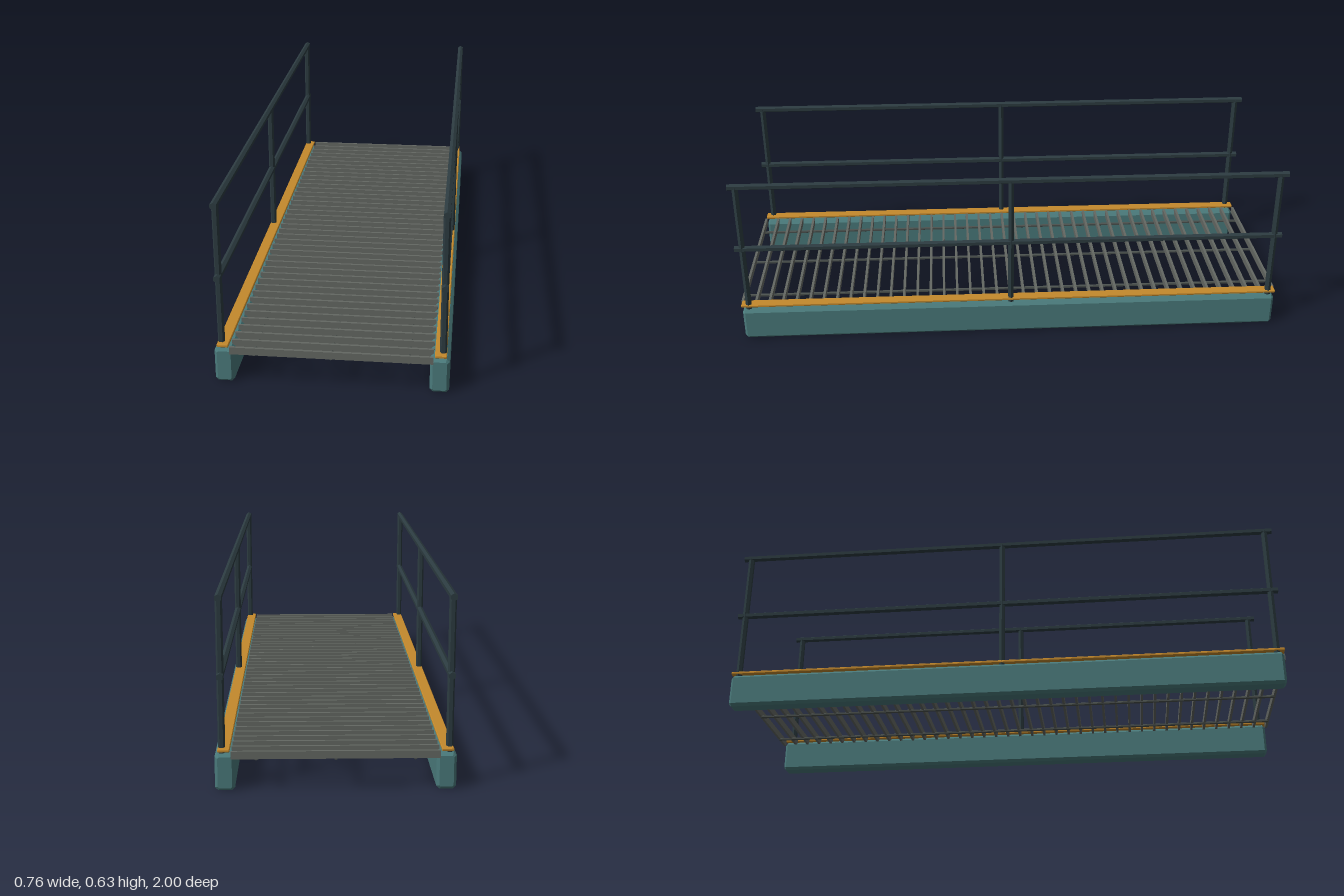
import * as THREE from 'three';

const mat = (color) => new THREE.MeshStandardMaterial({ color, flatShading: true });

// Chamfered bar running along z, centred on the origin
function chamferedBar(w, h, length, c) {
  const x = w / 2 - c, y = h / 2 - c, k = c * 0.5;
  const shape = new THREE.Shape([
    [-x + k, -y], [x - k, -y], [x, -y + k], [x, y - k],
    [x - k, y], [-x + k, y], [-x, y - k], [-x, -y + k],
  ].map(([px, py]) => new THREE.Vector2(px, py)));
  return new THREE.ExtrudeGeometry(shape, {
    depth: length - 2 * c, bevelEnabled: true, bevelSize: c, bevelThickness: c, bevelSegments: 1,
  }).translate(0, 0, -length / 2 + c);
}

// Six-sided rod along z, with a corner pointing up
function hexRod(r, length) {
  return new THREE.CylinderGeometry(r, r, length, 6).rotateX(Math.PI / 2);
}

export function createModel() {
  const model = new THREE.Group();
  model.name = 'footbridge';
  const teal = mat(0x4a7a7b), steel = mat(0x2c3b40), ochre = mat(0xc4892c);
  const grate = mat(0x646863), rodMat = mat(0x4a504d);

  const add = (name, geometry, material, x, y, z = 0) => {
    const mesh = new THREE.Mesh(geometry, material);
    mesh.name = name;
    mesh.position.set(x, y, z);
    model.add(mesh);
  };

  // Each side: beam, edge strip, posts and rails
  const beam = chamferedBar(0.063, 0.12, 1.98, 0.009);
  const strip = chamferedBar(0.038, 0.01, 1.99, 0.002);
  const rail = hexRod(0.012, 1.99);
  const post = new THREE.CylinderGeometry(0.0115, 0.0115, 0.5, 6).rotateY(Math.PI / 6);
  for (const [side, s] of [['left', 1], ['right', -1]]) {
    add(side + 'Beam', beam, teal, s * 0.3475, 0.06);
    add(side + 'EdgeStrip', strip, ochre, s * 0.35, 0.133);
    add(side + 'TopRail', rail, steel, s * 0.357, 0.617);
    add(side + 'MidRail', rail, steel, s * 0.357, 0.37);
    for (const z of [-0.968, 0, 0.968]) add(side + 'Post', post, steel, s * 0.357, 0.367, z);
  }

  // Deck grating: upright slats across, tie rods beneath
  const slat = new THREE.BoxGeometry(0.654, 0.025, 0.009);
  for (let i = -20; i <= 20; i++) add('deckSlat', slat, grate, 0, 0.1205, i * 0.04977);
  const tieRod = hexRod(0.006, 1.99);
  for (const x of [-0.249, 0, 0.249]) add('tieRod', tieRod, rodMat, x, 0.108);

  return model;
}
